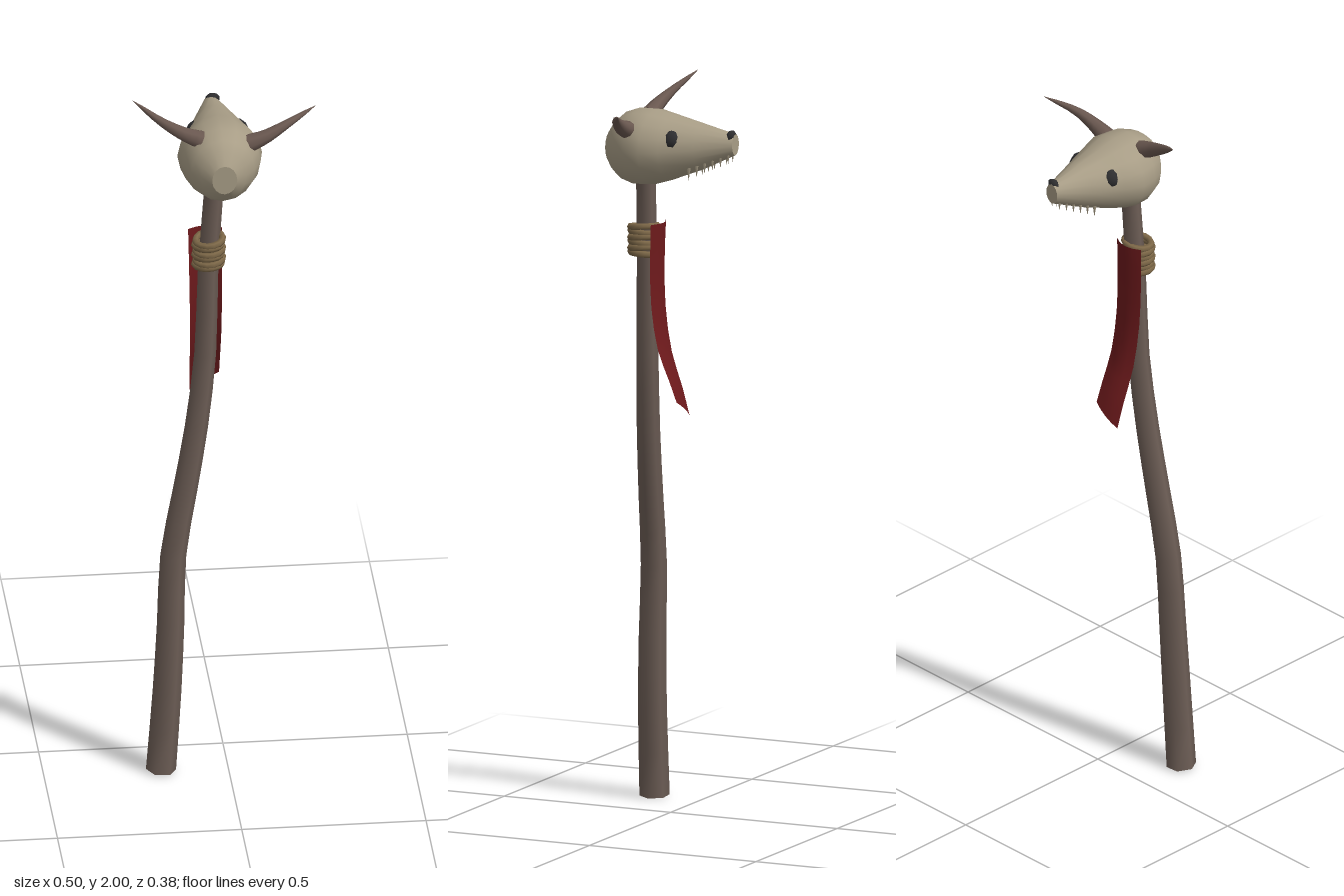
import * as THREE from 'three';

const V = (x, y, z) => new THREE.Vector3(x, y, z);
const mat = (name, color, side = THREE.FrontSide) => {
  const m = new THREE.MeshStandardMaterial({ color, side });
  m.name = name;
  return m;
};

// Elliptical ring of points around c, spanned by axes u and v
function ring(c, u, v, ru, rv, sides) {
  return Array.from({ length: sides }, (_, j) => {
    const a = (j / sides) * Math.PI * 2;
    return c.clone().addScaledVector(u, ru * Math.cos(a)).addScaledVector(v, rv * Math.sin(a));
  });
}

// Skin a list of rings, with flat caps on both ends
function loft(rings) {
  const n = rings[0].length, pos = [], idx = [];
  const add = (p) => pos.push(p.x, p.y, p.z) / 3 - 1;
  rings.forEach((r) => r.forEach(add));
  for (let i = 0; i < rings.length - 1; i++)
    for (let j = 0; j < n; j++) {
      const a = i * n + j, b = i * n + ((j + 1) % n);
      idx.push(a, b, b + n, a, b + n, a + n);
    }
  [rings[0], rings[rings.length - 1]].forEach((r, end) => {
    const mid = add(r.reduce((s, p) => s.add(p), V(0, 0, 0)).divideScalar(n));
    r.forEach(add);
    for (let j = 0; j < n; j++) {
      const a = mid + 1 + j, b = mid + 1 + ((j + 1) % n);
      idx.push(mid, ...(end ? [a, b] : [b, a]));
    }
  });
  const g = new THREE.BufferGeometry();
  g.setAttribute('position', new THREE.Float32BufferAttribute(pos, 3));
  g.setIndex(idx);
  g.computeVertexNormals();
  return g;
}

// Tapered tube along a curve; radius(t) sets the thickness
function sweep(curve, steps, sides, radius, ref) {
  const rings = [];
  for (let i = 0; i <= steps; i++) {
    const s = i / steps, t = curve.getTangent(s);
    const v = t.clone().cross(ref).normalize(), u = v.clone().cross(t);
    rings.push(ring(curve.getPoint(s), u, v, radius(s), radius(s), sides));
  }
  return loft(rings);
}

export function createModel() {
  const root = new THREE.Group();
  root.name = 'skullStaff';
  const bone = mat('bone', 0xa89d86);
  const wood = mat('wood', 0x6c5d55);
  const horn = mat('horn', 0x6a5850);
  const rope = mat('rope', 0x7d6848);
  const cloth = mat('red cloth', 0x6e1a1c, THREE.DoubleSide);
  const dark = mat('dark sockets', 0x2e2e30);
  const add = (name, geo, m, parent = root) => {
    const mesh = new THREE.Mesh(geo, m);
    mesh.name = name;
    parent.add(mesh);
    return mesh;
  };

  // Crooked six-sided shaft
  const shaft = new THREE.CatmullRomCurve3([
    V(-0.182, 0.005, 0.137), V(-0.165, 0.25, 0.135), V(-0.155, 0.45, 0.13), V(-0.147, 0.65, 0.122),
    V(-0.115, 0.84, 0.115), V(-0.083, 1.03, 0.107), V(-0.058, 1.25, 0.098),
    V(-0.05, 1.5, 0.095), V(-0.03, 1.8, 0.09)]);
  add('shaft', sweep(shaft, 16, 6, (t) => 0.041 - 0.015 * t, V(1, 0, 0)), wood);

  // Skull: cross-sections from the back of the head to the snout [z, half width, top, bottom]
  const cx = -0.014;
  const sections = [
    [0.187, 0.034, 1.862, 1.778], [0.165, 0.062, 1.895, 1.75], [0.14, 0.087, 1.917, 1.733],
    [0.1, 0.106, 1.932, 1.722], [0.05, 0.115, 1.932, 1.726], [0, 0.096, 1.922, 1.742],
    [-0.09, 0.06, 1.904, 1.778], [-0.188, 0.021, 1.884, 1.826]];
  add('skull', loft(sections.map(([z, w, top, bottom]) =>
    ring(V(cx, (top + bottom) / 2, z), V(-1, 0, 0), V(0, 1, 0), w, (top - bottom) / 2, 16))), bone);

  // Eyes and nose
  const ball = new THREE.SphereGeometry(1, 6, 5);
  for (const s of [-1, 1]) {
    const eye = add(s > 0 ? 'leftEye' : 'rightEye', ball, dark);
    eye.position.set(cx + s * 0.066, 1.867, -0.026);
    eye.scale.set(0.018, 0.026, 0.024);
    eye.rotation.z = s * 0.4;
  }
  const nose = add('nose', ball, dark);
  nose.position.set(-0.01, 1.879, -0.178);
  nose.scale.set(0.02, 0.016, 0.012);

  // Curved horns, one set higher than the other
  const horns = [
    ['leftHorn', [V(0.06, 1.882, 0.097), V(0.105, 1.9, 0.097), V(0.165, 1.928, 0.082), V(0.247, 1.957, 0.039)]],
    ['rightHorn', [V(-0.07, 1.9, 0.097), V(-0.115, 1.92, 0.097), V(-0.175, 1.952, 0.08), V(-0.249, 1.999, 0.039)]]];
  for (const [name, pts] of horns)
    add(name, sweep(new THREE.CatmullRomCurve3(pts), 8, 8,
      (t) => 0.026 * Math.pow(1 - t, 0.75) + 0.0005, V(0, 1, 0)), horn);

  // Teeth along both edges of the upper jaw
  const teeth = new THREE.Group();
  teeth.name = 'teeth';
  root.add(teeth);
  const tooth = new THREE.ConeGeometry(0.006, 0.036, 5).rotateX(Math.PI);
  for (const s of [-1, 1])
    for (let i = 0; i < 6; i++) {
      const k = i / 5;
      add('tooth', tooth, bone, teeth).position.set(
        cx + s * (0.042 - 0.028 * k), 1.771 + 0.05 * k, -0.068 - 0.105 * k);
    }

  // Rope binding: stacked, slightly tilted coils
  const binding = new THREE.Group();
  binding.name = 'ropeBinding';
  root.add(binding);
  for (let i = 0; i < 6; i++) {
    const coil = add('coil', new THREE.TorusGeometry(0.037, 0.0095, 6, 14), rope, binding);
    coil.position.set(-0.051 + 0.003 * (i % 2), 1.527 + 0.0145 * i, 0.104);
    coil.rotation.set(Math.PI / 2 + (i % 2 ? 0.1 : -0.06), i % 2 ? 0.12 : 0.05, 0);
  }

  // Hanging cloth strip, bowed across its width and sweeping outward at the bottom
  const hang = new THREE.CatmullRomCurve3([
    V(0, 1.612, 0.048), V(0, 1.5, 0.052), V(0, 1.38, 0.05), V(0, 1.26, 0.032), V(0, 1.17, 0), V(0, 1.105, -0.02)]);
  const strip = new THREE.PlaneGeometry(1, 1, 4, 10), p = strip.attributes.position;
  for (let i = 0; i < p.count; i++) {
    const a = p.getX(i) * 2, t = 0.5 - p.getY(i), c = hang.getPoint(t);
    p.setXYZ(i, -0.055 + 0.006 * t + a * (0.046 - 0.006 * t),
      c.y + a * 0.025 * t * t, c.z + 0.016 * a * a * (1 - 0.6 * t));
  }
  strip.computeVertexNormals();
  add('clothStrip', strip, cloth);

  return root;
}
